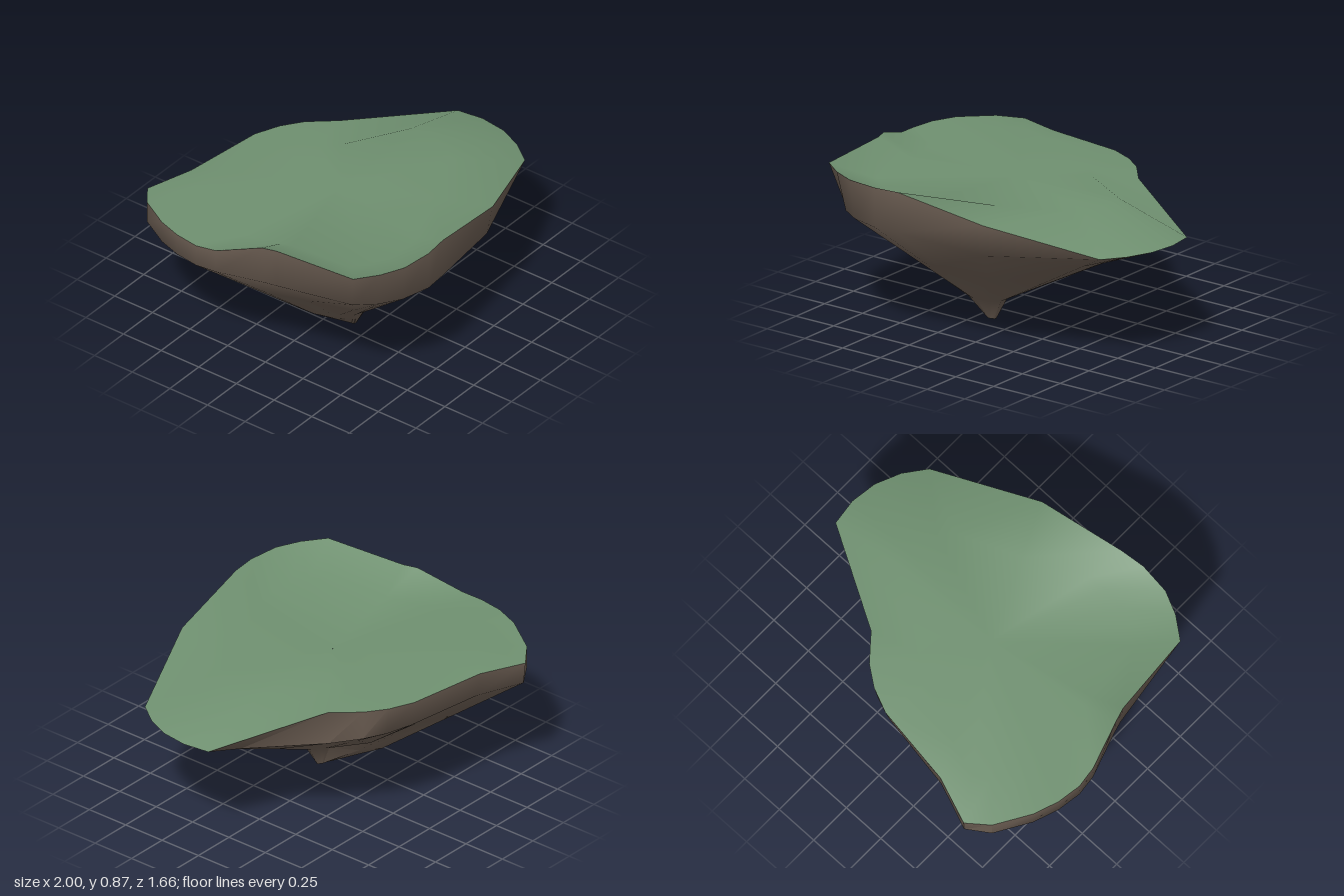
import * as THREE from 'three';
import { toCreasedNormals } from 'three/addons/utils/BufferGeometryUtils.js';

// Stations round the island: rim x, z, y, shoulder scale, shoulder y, foot scale
const stations = [
  [-0.69, -0.83, 0.73, 0.99, 0.61, 0.3],
  [-0.43, -0.735, 0.745, 0.98, 0.61, 0.24],
  [0.03, -0.67, 0.75, 0.96, 0.6, 0.09],
  [0.17, -0.61, 0.75, 0.97, 0.59, 0.09],
  [0.28, -0.53, 0.75, 0.98, 0.58, 0.09],
  [0.40, -0.39, 0.75, 1, 0.56, 0.09],
  [0.98, -0.05, 0.64, 0.74, 0.53, 0.08],
  [1, 0.1, 0.64, 0.72, 0.525, 0.08],
  [0.98, 0.25, 0.64, 0.73, 0.525, 0.08],
  [0.92, 0.39, 0.64, 0.76, 0.525, 0.08],
  [0.83, 0.51, 0.64, 0.79, 0.53, 0.09],
  [0.24, 0.75, 0.77, 0.96, 0.59, 0.12],
  [-0.28, 0.815, 0.865, 1, 0.64, 0.13],
  [-0.42, 0.83, 0.865, 1, 0.645, 0.13],
  [-0.6, 0.81, 0.865, 0.97, 0.645, 0.13],
  [-0.73, 0.75, 0.865, 0.95, 0.645, 0.13],
  [-0.85, 0.66, 0.865, 0.92, 0.645, 0.14],
  [-0.89, 0.18, 0.865, 0.98, 0.63, 0.2],
  [-0.914, 0.1, 0.865, 0.98, 0.635, 0.21],
  [-0.985, -0.15, 0.78, 1, 0.645, 0.24],
  [-1, -0.27, 0.77, 1, 0.645, 0.25],
  [-0.98, -0.41, 0.77, 1, 0.645, 0.26],
  [-0.93, -0.55, 0.765, 1, 0.64, 0.28],
  [-0.81, -0.74, 0.745, 1, 0.62, 0.3],
];
const tip = [-0.17, 0.14];
const middle = [-0.1, 0];
// Rib and hollow in the rock below the back notch, by station
const bellyLift = { 2: -0.04, 4: 0.03, 5: 0.05 };

// Scale a station toward a centre and place it at height y
const toward = (c, s, k, y) => [c[0] + (s[0] - c[0]) * k, y, c[1] + (s[1] - c[1]) * k];

// Skin a sequence of closed rings
function skin(rings) {
  const n = rings[0].length;
  const index = [];
  for (let r = 0; r < rings.length - 1; r++) {
    for (let i = 0; i < n; i++) {
      const j = (i + 1) % n;
      const a = r * n + i, b = r * n + j, c = a + n, d = b + n;
      index.push(a, b, d, a, d, c);
    }
  }
  const g = new THREE.BufferGeometry();
  g.setAttribute('position', new THREE.Float32BufferAttribute(rings.flat(2), 3));
  g.setIndex(index);
  return toCreasedNormals(g, 0.95);
}

function part(name, rings, color) {
  const mesh = new THREE.Mesh(skin(rings), new THREE.MeshStandardMaterial({ color }));
  mesh.name = name;
  return mesh;
}

export function createModel() {
  const group = new THREE.Group();
  group.name = 'floatingIsland';

  const rim = stations.map((s) => [s[0], s[2], s[1]]);

  // Grass: level middle, wider on the raised side, that rises or falls to the rim
  group.add(part('grassTop', [
    stations.map((s) => toward(middle, s, 0.001, 0.77)),
    stations.map((s) => toward(middle, s, s[0] < 0 ? 0.75 : 0.6, 0.77)),
    rim,
  ], 0x6f9070));

  // Rock: short wall, sloping underside, small pointed foot
  const shoulder = stations.map((s) => toward(middle, s, s[3], s[4]));
  const foot = stations.map((s) => toward(tip, s, s[5], 0.12));
  const belly = shoulder.map(([x, y, z], i) => [
    (x + foot[i][0]) / 2,
    (y + foot[i][1]) / 2 + (bellyLift[i] ?? 0),
    (z + foot[i][2]) / 2,
  ]);
  group.add(part('rockUnderside', [
    rim,
    shoulder,
    belly,
    foot,
    stations.map((s) => toward(tip, s, 0.025, 0)),
    stations.map((s) => toward(tip, s, 0.0005, 0)),
  ], 0x6b5d52));

  return group;
}
